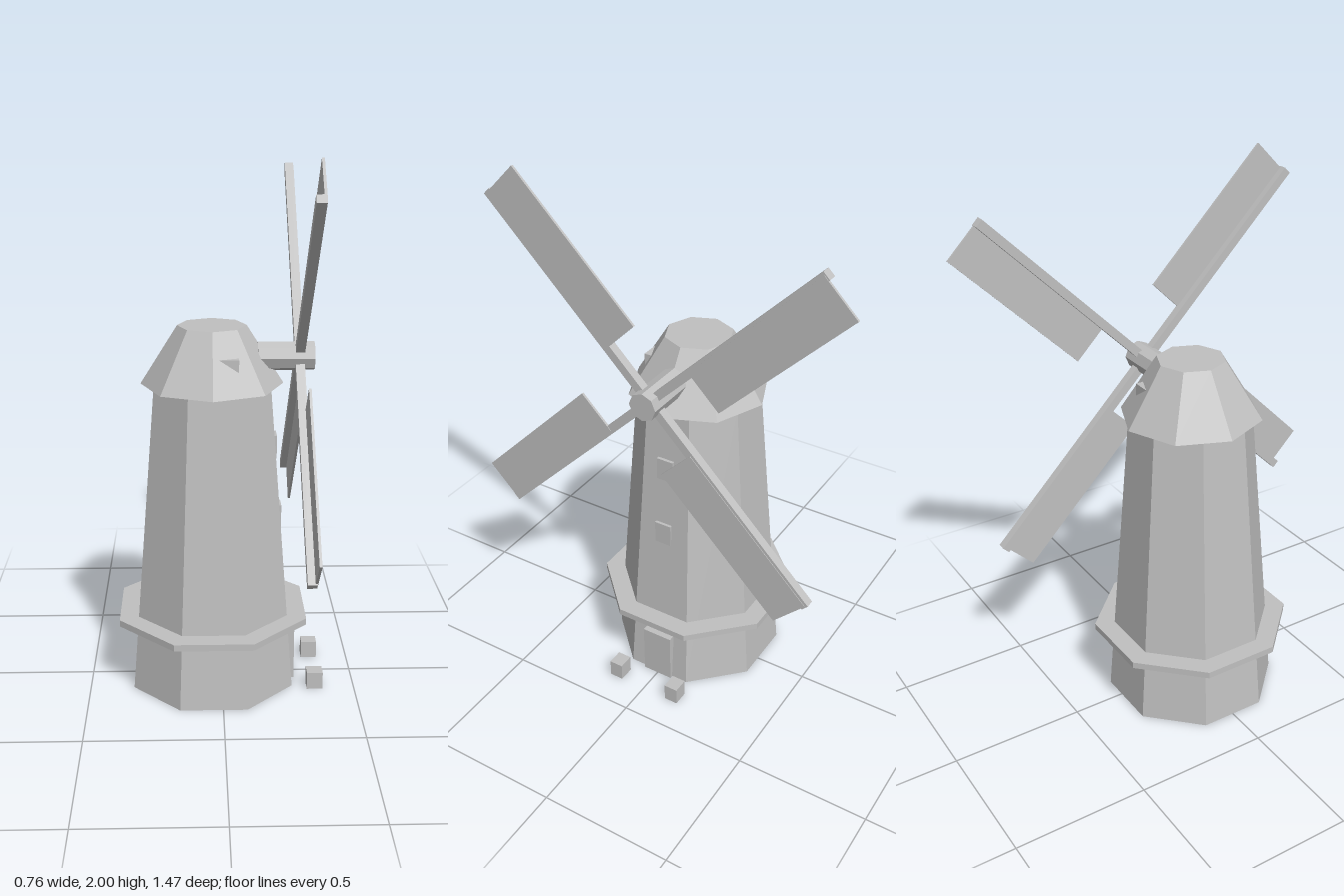
import * as THREE from 'three';

export function createModel() {
  const model = new THREE.Group();
  model.name = 'windmill';
  const stone = new THREE.MeshStandardMaterial({ color: 0xc0c0c0, side: THREE.DoubleSide });
  const axisX = -0.035; // tower axis

  const add = (name, geometry, x, y, z, parent = model) => {
    // unshared vertices give each facet its own flat normal
    const geo = geometry.toNonIndexed();
    geo.computeVertexNormals();
    const mesh = new THREE.Mesh(geo, stone);
    mesh.name = name;
    mesh.position.set(x, y, z);
    parent.add(mesh);
    return mesh;
  };
  // box given by its extents
  const block = (name, x0, x1, y0, y1, z0, z1, parent = model) =>
    add(name, new THREE.BoxGeometry(x1 - x0, y1 - y0, z1 - z0),
      (x0 + x1) / 2, (y0 + y1) / 2, (z0 + z1) / 2, parent);
  // eight-sided prism with flats facing the axes, sized by half width
  const octagon = (top, bottom, height, open) => {
    const k = 1 / Math.cos(Math.PI / 8);
    return new THREE.CylinderGeometry(top * k, bottom * k, height, 8, 1, open).rotateY(Math.PI / 8);
  };

  // Tapered tower, open underneath, with a walkway around it
  add('tower', octagon(0.21, 0.30, 1.17, true), axisX, 0.585, 0);
  add('gallery', octagon(0.348, 0.348, 0.025, false), axisX, 0.278, 0);

  // Cap, turned so its corners lie on the axes, with dormers breaking through
  add('cap', new THREE.CylinderGeometry(0.125, 0.26, 0.215, 8), axisX, 1.272, 0);
  for (const s of [1, -1]) {
    add('dormer', new THREE.BoxGeometry(0.075, 0.085, 0.06), 0.0195, 1.2475, s * 0.142);
  }

  // Door, windows and the two blocks beside the entrance
  block('door', 0.2, 0.277, 0, 0.2, -0.06, 0.06);
  block('upperWindow', 0.15, 0.202, 0.885, 0.972, -0.033, 0.033);
  block('lowerWindow', 0.17, 0.222, 0.612, 0.699, -0.033, 0.033);
  for (const s of [1, -1]) {
    add('entranceBlock', new THREE.BoxGeometry(0.06, 0.067, 0.053), 0.35, 0.0335, s * 0.126);
  }

  // Axle
  add('axle', new THREE.CylinderGeometry(0.053, 0.053, 0.205, 8).rotateZ(Math.PI / 2), 0.2325, 1.265, 0);

  // Four arms, each with a sail on its trailing side
  const rotor = new THREE.Group();
  rotor.name = 'rotor';
  rotor.position.y = 1.265;
  model.add(rotor);
  for (let i = 0; i < 4; i++) {
    const arm = new THREE.Group();
    arm.name = 'sailArm';
    arm.rotation.x = Math.PI / 4 + i * Math.PI / 2;
    block('spar', 0.265, 0.298, 0, 0.885, -0.016, 0.016, arm);
    block('sail', 0.291, 0.3, 0.23, 0.88, -0.161, 0.005, arm);
    rotor.add(arm);
  }
  return model;
}
